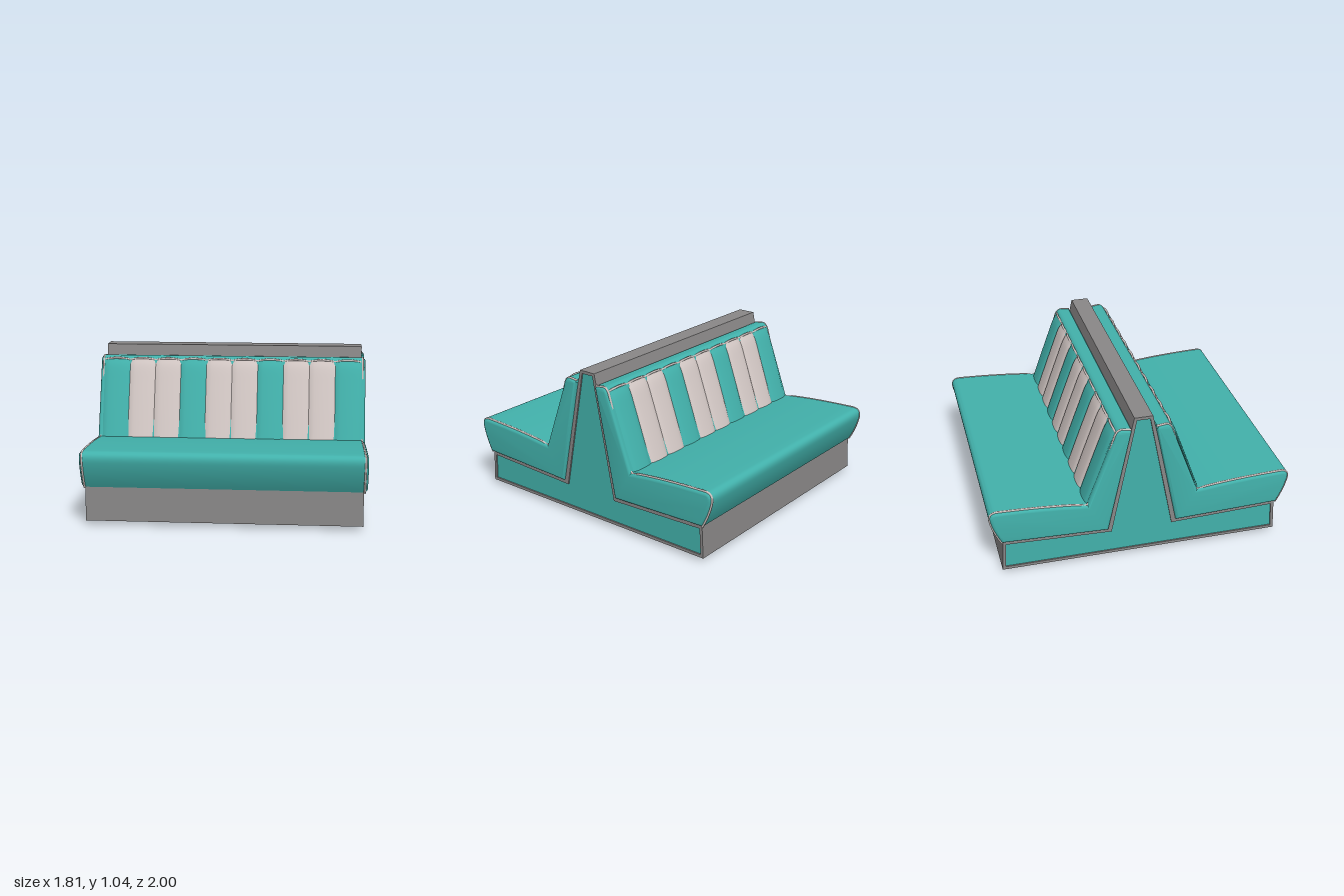
import * as THREE from 'three';
import { toCreasedNormals } from 'three/addons/utils/BufferGeometryUtils.js';

const material = (name, color, side = THREE.FrontSide) => {
  const m = new THREE.MeshStandardMaterial({ color, side });
  m.name = name;
  return m;
};

export function createModel() {
  const teal = material('teal vinyl', 0x42b1ab, THREE.DoubleSide);
  const cream = material('cream vinyl', 0xd2c7c4, THREE.DoubleSide);
  const grey = material('grey frame', 0x898787);
  const piping = material('pale piping', 0xcdc3c0);
  const red = material('red edge', 0xb84a48);

  const model = new THREE.Group();
  model.name = 'doubleBoothBench';

  const add = (parent, name, geometry, mat, x = 0, y = 0, z = 0) => {
    const mesh = new THREE.Mesh(geometry, mat);
    mesh.name = name;
    mesh.position.set(x, y, z);
    parent.add(mesh);
    return mesh;
  };
  const polygon = (points) => new THREE.Shape(points.map(([z, y]) => new THREE.Vector2(z, y)));

  // Extrudes a side profile drawn as (z, y) across x, centred on x = 0
  const across = (shape, width, bevel = 0, inset = 0) => {
    const depth = width - 2 * bevel;
    const g = new THREE.ExtrudeGeometry(shape, {
      depth, curveSegments: 10, bevelEnabled: bevel > 0, bevelThickness: bevel,
      bevelSize: bevel, bevelOffset: -bevel - inset, bevelSegments: 4,
    });
    g.translate(0, 0, -depth / 2);
    g.rotateY(-Math.PI / 2);
    return toCreasedNormals(g, 0.6);
  };

  // Side outline of one seat with its backrest
  const seatProfile = () => {
    const s = new THREE.Shape();
    s.moveTo(0.225, 0.226);
    s.lineTo(0.925, 0.25);
    s.quadraticCurveTo(0.975, 0.34, 0.993, 0.42);
    s.quadraticCurveTo(1.01, 0.49, 0.95, 0.493);
    s.quadraticCurveTo(0.62, 0.485, 0.368, 0.45);
    s.lineTo(0.194, 0.92);
    s.quadraticCurveTo(0.18, 0.976, 0.145, 0.976);
    s.lineTo(0.085, 0.968);
    s.lineTo(0.076, 0.955);
    s.closePath();
    return s;
  };

  // Hollow cushion skin, open underneath
  const skinGeometry = (width) => {
    const points = seatProfile().getPoints(10).slice(1);
    const n = points.length - 1;
    const g = new THREE.PlaneGeometry(width, 1, 1, n);
    const p = g.attributes.position;
    for (let i = 0; i < p.count; i++) {
      const q = points[n - Math.floor(i / 2)];
      p.setXYZ(i, p.getX(i), q.y, q.x);
    }
    return toCreasedNormals(g, 0.6);
  };

  // One padded channel of the backrest, bulging between its seams
  const backPath = new THREE.CatmullRomCurve3([
    [0.368, 0.44], [0.306, 0.62], [0.242, 0.8], [0.203, 0.905], [0.18, 0.945],
  ].map(([z, y]) => new THREE.Vector3(0, y, z)));
  const channelGeometry = (width) => {
    const g = new THREE.PlaneGeometry(width, 1, 10, 14);
    const p = g.attributes.position;
    for (let i = 0; i < p.count; i++) {
      const v = p.getY(i) + 0.5;
      const bulge = Math.sqrt(Math.max(0, 1 - (2 * p.getX(i) / width) ** 2));
      const c = backPath.getPoint(v);
      p.setXYZ(i, p.getX(i), c.y + 0.012 * bulge * v, c.z + 0.018 * bulge * (1 - 0.5 * v));
    }
    g.computeVertexNormals();
    return g;
  };

  const buildSeat = (name) => {
    const seat = new THREE.Group();
    seat.name = name;
    add(seat, 'cushionSkin', skinGeometry(1.76), teal);

    const pitch = 0.175;
    for (let i = 0; i < 10; i++) {
      add(seat, 'backrestChannel', channelGeometry(pitch), i % 3 === 0 ? teal : cream, (i - 4.5) * pitch);
    }

    // Scalloped piping over the channels
    const scallop = [];
    for (let i = 0; i <= 80; i++) {
      const b = Math.abs(Math.sin(i / 8 * Math.PI));
      scallop.push(new THREE.Vector3((i / 8 - 5) * pitch, 0.949 + 0.013 * b, 0.176 + 0.01 * b));
    }
    add(seat, 'topPiping', new THREE.TubeGeometry(new THREE.CatmullRomCurve3(scallop), 160, 0.008, 6), piping);

    // Rounded end pads, each with piping just inside its edge
    const edge = seatProfile().getPoints(8).slice(1, -2);
    for (const side of [-1, 1]) {
      add(seat, 'endPad', across(seatProfile(), 0.05, 0.02, 0.004), teal, side * 0.879);
      const path = new THREE.CatmullRomCurve3(
        edge.map((q) => new THREE.Vector3(side * 0.884, q.y - 0.004, q.x - 0.004)), false, 'centripetal');
      add(seat, 'endPiping', new THREE.TubeGeometry(path, 120, 0.008, 6), piping);
    }
    return seat;
  };
  const frontSeat = buildSeat('frontSeat');
  const backSeat = buildSeat('backSeat');
  backSeat.rotation.y = Math.PI;
  model.add(frontSeat, backSeat);

  // End frames: a grey rim around an inset teal panel
  const mirrored = (half) => [...half, ...half.map(([z, y]) => [-z, y]).reverse()];
  const outer = mirrored([[0.928, 0.028], [0.917, 0.25], [0.237, 0.226], [0.06, 1.04]]);
  const inner = mirrored([[0.907, 0.048], [0.898, 0.225], [0.203, 0.2], [0.043, 1.02]]);
  const rim = polygon(outer);
  rim.holes.push(polygon(inner));
  for (const side of [-1, 1]) {
    add(model, 'endRim', across(rim, 0.03), grey, side * 0.865);
    add(model, 'endPanel', across(polygon(inner), 0.008), teal, side * 0.867);
  }

  // Hollow grey spine between the backrests, with short ledges below
  const spine = polygon([
    [0.265, 0.227], [0.237, 0.226], [0.06, 1.04], [-0.06, 1.04], [-0.237, 0.226], [-0.265, 0.227],
    [-0.265, 0.202], [-0.205, 0.2], [-0.043, 1.02], [0.043, 1.02], [0.205, 0.2], [0.265, 0.202],
  ]);
  add(model, 'spine', across(spine, 1.74), grey);

  // Long kick boards
  const board = [[0.928, 0.028], [0.917, 0.25], [0.897, 0.25], [0.908, 0.028]];
  add(model, 'frontKickBoard', across(polygon(board), 1.74), grey);
  add(model, 'backKickBoard', across(polygon(board.map(([z, y]) => [-z, y])), 1.74), grey);

  // Centre partition with a thin red lower edge
  add(model, 'partition', new THREE.BoxGeometry(1.72, 0.97, 0.006), teal, 0, 0.525, 0);
  add(model, 'partitionEdge', new THREE.BoxGeometry(1.72, 0.012, 0.008), red, 0, 0.038, 0);

  // Pedestal and its side rods under the bench
  const foot = [[0, 0], [0.112, 0], [0.123, 0.01], [0.124, 0.022], [0.115, 0.026], [0.03, 0.03]]
    .map(([r, y]) => new THREE.Vector2(r, y));
  add(model, 'pedestalFoot', toCreasedNormals(new THREE.LatheGeometry(foot, 32), 0.5), grey, 0, 0, 0.006);
  add(model, 'pedestalPost', new THREE.CylinderGeometry(0.03, 0.03, 0.45, 20), grey, 0, 0.25, 0);
  for (const x of [-1, 1]) {
    for (const z of [-1, 1]) {
      const rod = new THREE.CatmullRomCurve3([
        [0.13, 0.42, 0.03], [0.2, 0.41, 0.04], [0.23, 0.34, 0.05], [0.225, 0.2, 0.05], [0.25, 0.1, 0.07],
      ].map((q) => new THREE.Vector3(x * q[0], q[1], z * q[2])));
      add(model, 'sideRod', new THREE.TubeGeometry(rod, 20, 0.012, 8), grey);
    }
  }
  return model;
}
